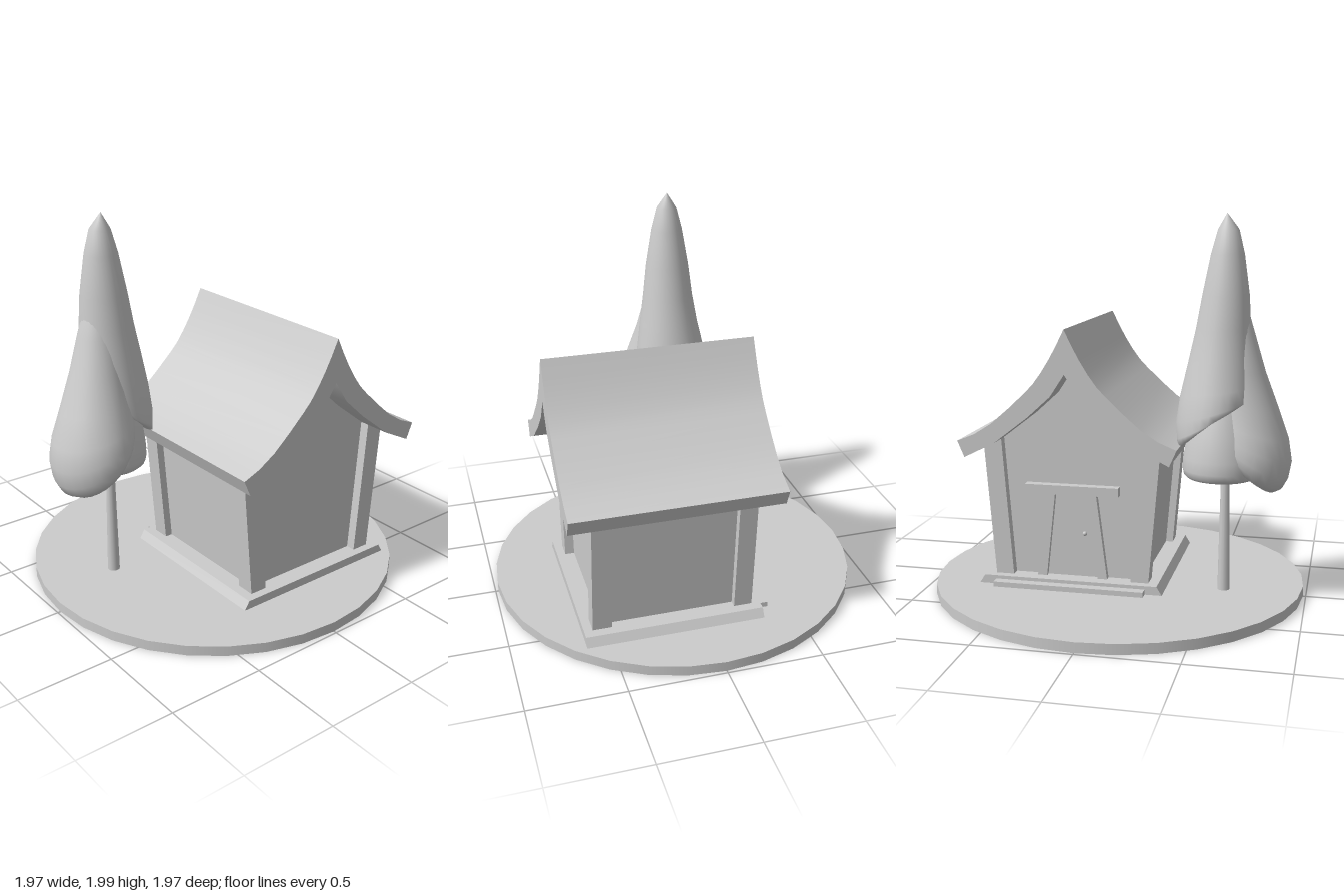
import * as THREE from 'three';
import { toCreasedNormals } from 'three/addons/utils/BufferGeometryUtils.js';

const CX = 0.205; // middle of the house in x

export function createModel() {
  const model = new THREE.Group();
  const mat = new THREE.MeshStandardMaterial({ color: 0xcccccc });

  function add(name, geo, parent = model) {
    const mesh = new THREE.Mesh(geo, mat);
    mesh.name = name;
    parent.add(mesh);
    return mesh;
  }
  // Outline in x/y, extruded from z0 to z1
  function prism(points, z0, z1) {
    const shape = new THREE.Shape(points.map(([x, y]) => new THREE.Vector2(x, y)));
    const geo = new THREE.ExtrudeGeometry(shape, { depth: z1 - z0, bevelEnabled: false });
    geo.translate(0, 0, z0);
    return toCreasedNormals(geo, 0.45);
  }
  // Mirrors a half outline (bottom to top, right side) about x = 0
  const mirrored = (half) => [...half, ...half.slice().reverse().filter(p => p[0] > 0).map(([x, y]) => [-x, y])];
  const flip = (points) => points.map(([x, y]) => [-x, y]);

  // Round base, with a vertex pointing to +z
  add('base', new THREE.CylinderGeometry(0.985, 0.985, 0.053, 32)).position.y = 0.0385;

  // House
  const house = new THREE.Group();
  house.name = 'house';
  house.position.x = CX;
  model.add(house);

  add('foundation', prism(mirrored([[0.49, 0.065], [0.462, 0.11]]), -0.3, 0.635), house);
  add('doorStep', prism(mirrored([[0.4, 0.065], [0.4, 0.092]]), -0.35, -0.28), house);
  add('walls', prism(mirrored([
    [0.37, 0.1], [0.432, 0.83], [0.375, 0.86], [0.195, 1.0], [0.075, 1.11], [0, 1.225],
  ]), -0.205, 0.54), house);

  // Leaning corner posts
  const post = [[0.315, 0.1], [0.41, 0.1], [0.47, 0.81], [0.376, 0.86]];
  for (const [z0, z1] of [[0.49, 0.59], [-0.255, -0.16]]) {
    add('cornerPost', prism(post, z0, z1), house);
    add('cornerPost', prism(flip(post), z0, z1), house);
  }

  // Curved roof of even sweep
  const under = [[0.535, 0.76], [0.375, 0.84], [0.195, 0.98], [0.075, 1.09], [0, 1.205]];
  const over = [[0, 1.432], [0.04, 1.35], [0.078, 1.28], [0.12, 1.212], [0.165, 1.15], [0.21, 1.103],
    [0.3, 1.018], [0.39, 0.94], [0.48, 0.883], [0.572, 0.845]];
  const roofOutline = [
    ...over, ...under,
    ...flip(under).reverse().slice(1),
    ...flip(over).reverse().slice(0, -1),
  ];
  add('roof', prism(roofOutline, -0.372, 0.718), house);

  // Door with splayed frame
  add('door', prism(mirrored([[0.15, 0.11], [0.1, 0.56]]), -0.212, -0.2), house);
  const jamb = [[0.138, 0.11], [0.188, 0.11], [0.13, 0.56], [0.09, 0.56]];
  add('doorJamb', prism(jamb, -0.24, -0.2), house);
  add('doorJamb', prism(flip(jamb), -0.24, -0.2), house);
  add('doorLintel', prism(mirrored([[0.25, 0.557], [0.25, 0.605]]), -0.254, -0.2), house);
  add('doorKnob', new THREE.SphereGeometry(0.012, 12, 8), house).position.set(-0.065, 0.345, -0.22);

  // Tree
  const tree = new THREE.Group();
  tree.name = 'tree';
  model.add(tree);
  add('trunk', new THREE.CylinderGeometry(0.02, 0.032, 0.75, 12), tree).position.set(-0.58, 0.44, -0.12);

  // Foliage skin over rings [x, y, z, radius, tilt in degrees], top to bottom
  function foliage(rings, sides = 28) {
    const pos = [], index = [];
    rings.forEach(([x, y, z, r, tilt], i) => {
      const t = THREE.MathUtils.degToRad(tilt);
      for (let j = 0; j < sides; j++) {
        const a = (j / sides) * Math.PI * 2, u = r * Math.cos(a);
        pos.push(x + u * Math.cos(t), y + u * Math.sin(t), z + r * Math.sin(a));
        if (i === rings.length - 1) continue;
        const k = (j + 1) % sides, A = i * sides, B = A + sides;
        index.push(A + j, A + k, B + j, A + k, B + k, B + j);
      }
    });
    const geo = new THREE.BufferGeometry();
    geo.setAttribute('position', new THREE.Float32BufferAttribute(pos, 3));
    geo.setIndex(index);
    geo.computeVertexNormals();
    return geo;
  }

  add('tallFoliage', foliage([
    [-0.57, 2.0, -0.135, 0, 0], [-0.578, 1.92, -0.135, 0.053, 0], [-0.576, 1.8, -0.135, 0.084, 0],
    [-0.57, 1.6, -0.135, 0.118, 0], [-0.56, 1.43, -0.135, 0.138, 0], [-0.548, 1.27, -0.137, 0.163, -3],
    [-0.535, 1.12, -0.145, 0.19, -9], [-0.525, 1.02, -0.15, 0.206, -18], [-0.513, 0.97, -0.15, 0.205, -30],
    [-0.495, 0.95, -0.15, 0.198, -38], [-0.488, 0.945, -0.15, 0.17, -42], [-0.488, 0.945, -0.15, 0, -42],
  ]), tree);

  add('sideFoliage', foliage([
    [-0.59, 1.72, -0.13, 0, 0], [-0.6, 1.6, -0.13, 0.06, 0], [-0.615, 1.4, -0.125, 0.105, 0],
    [-0.635, 1.22, -0.115, 0.14, 3], [-0.665, 1.05, -0.1, 0.18, 8], [-0.69, 0.93, -0.092, 0.215, 16],
    [-0.7, 0.85, -0.09, 0.232, 23], [-0.695, 0.79, -0.09, 0.236, 31], [-0.685, 0.755, -0.09, 0.23, 37],
    [-0.67, 0.735, -0.09, 0.21, 41], [-0.664, 0.728, -0.09, 0.17, 42], [-0.664, 0.728, -0.09, 0, 42],
  ]), tree);

  add('lowFoliage', foliage([
    [-0.575, 1.45, -0.135, 0, 0], [-0.575, 1.25, -0.14, 0.08, 0], [-0.57, 1.05, -0.145, 0.14, 0],
    [-0.565, 0.9, -0.15, 0.178, 0], [-0.562, 0.78, -0.155, 0.194, 0], [-0.56, 0.72, -0.155, 0.194, 0],
    [-0.56, 0.69, -0.155, 0.187, 0], [-0.56, 0.675, -0.155, 0.17, 0], [-0.56, 0.672, -0.155, 0.14, 0],
    [-0.56, 0.672, -0.155, 0, 0],
  ]), tree);

  return model;
}
